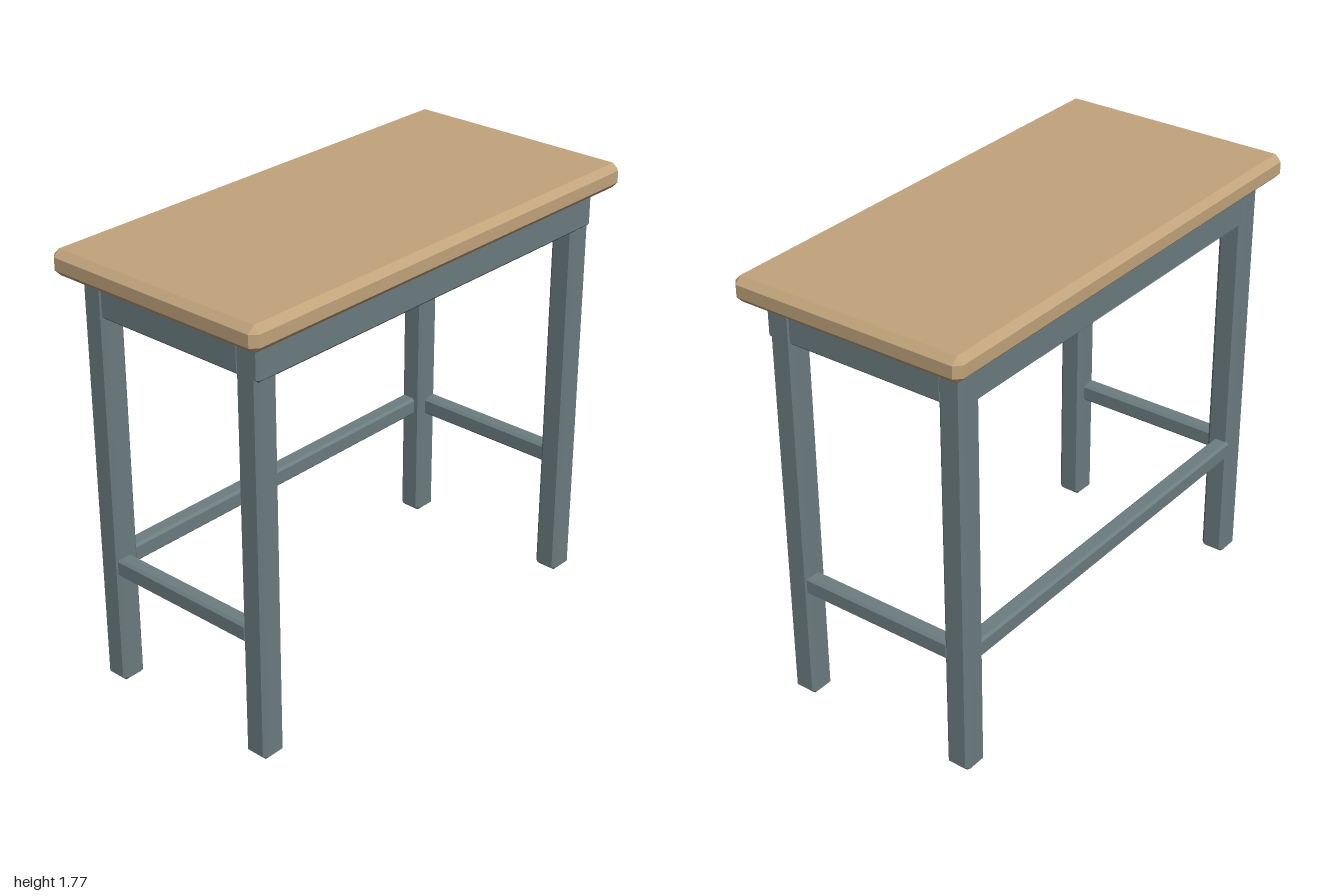
import * as THREE from 'three';
import { ConvexGeometry } from 'three/addons/geometries/ConvexGeometry.js';

// Box given by its extents, with every edge cut by a flat chamfer c
function chamferBox([x0, x1], [y0, y1], [z0, z1], c) {
  const h = [(x1 - x0) / 2, (y1 - y0) / 2, (z1 - z0) / 2];
  const points = [];
  for (const sx of [-1, 1]) for (const sy of [-1, 1]) for (const sz of [-1, 1]) {
    for (let axis = 0; axis < 3; axis++) {
      const p = h.map((v, i) => (i === axis ? v : v - c));
      points.push(new THREE.Vector3(sx * p[0], sy * p[1], sz * p[2]));
    }
  }
  const geometry = new ConvexGeometry(points);
  geometry.translate((x0 + x1) / 2, (y0 + y1) / 2, (z0 + z1) / 2);
  return geometry;
}

export function createModel() {
  const wood = new THREE.MeshStandardMaterial({ color: 0xc2a47c });
  wood.name = 'warm wood';
  const paint = new THREE.MeshStandardMaterial({ color: 0x6c7d80 });
  paint.name = 'grey paint';

  const model = new THREE.Group();
  model.name = 'desk';
  const add = (name, material, x, y, z, c) => {
    const mesh = new THREE.Mesh(chamferBox(x, y, z, c), material);
    mesh.name = name;
    model.add(mesh);
  };

  // Overhanging top
  add('tabletop', wood, [-1, 1], [1.67, 1.77], [-0.49, 0.49], 0.026);

  // Compartment under the top and the panel across its front
  add('compartment', paint, [-0.88, 0.88], [1.53, 1.668], [-0.4, 0.38], 0.005);
  add('frontPanel', paint, [-0.914, 0.914], [1.52, 1.66], [0.35, 0.42], 0.012);

  const railY = [1.52, 1.665];
  const stretcherY = [0.47, 0.545];

  // Rear apron and stretcher, flush with the back of the legs
  add('backApron', paint, [-0.83, 0.83], railY, [-0.428, -0.36], 0.01);
  add('backStretcher', paint, [-0.83, 0.83], stretcherY, [-0.428, -0.36], 0.01);

  for (const side of [-1, 1]) {
    const name = side > 0 ? 'left' : 'right';
    const span = (a, b) => [side * a, side * b].sort((m, n) => m - n);

    // Legs
    add(name + 'FrontLeg', paint, span(0.812, 0.914), [0, 1.67], [0.308, 0.412], 0.015);
    add(name + 'BackLeg', paint, span(0.812, 0.914), [0, 1.67], [-0.431, -0.328], 0.015);

    // Rails joining front and back legs
    add(name + 'Apron', paint, span(0.845, 0.911), railY, [-0.345, 0.325], 0.01);
    add(name + 'Stretcher', paint, span(0.845, 0.911), stretcherY, [-0.345, 0.325], 0.01);
  }
  return model;
}
